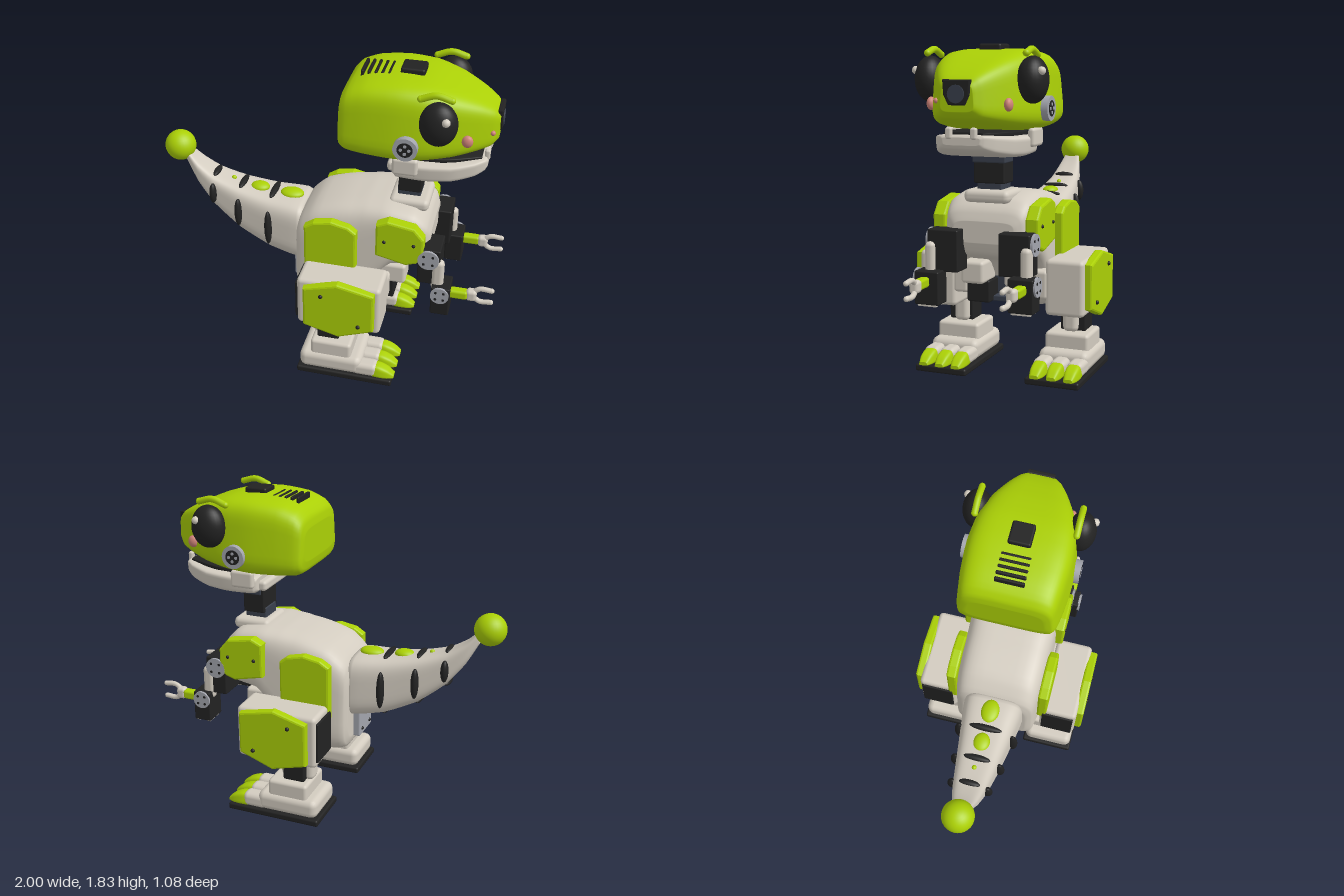
import * as THREE from 'three';
import { RoundedBoxGeometry } from 'three/addons/geometries/RoundedBoxGeometry.js';

const mat = (name, color) => {
  const m = new THREE.MeshStandardMaterial({ color });
  m.name = name;
  return m;
};

export function createModel() {
  const green = mat('lime green', 0xabd006), cream = mat('warm white', 0xd3ccc0), dark = mat('black', 0x222222);
  const gray = mat('light gray', 0xa3a5ad), slate = mat('slate', 0x3a404c), pink = mat('pink', 0xd0857a);
  const root = new THREE.Group();

  const add = (name, geo, m, x = 0, y = 0, z = 0) => {
    const mesh = new THREE.Mesh(geo, m);
    mesh.name = name;
    mesh.position.set(x, y, z);
    root.add(mesh);
    return mesh;
  };
  // Rounded box given by its limits on each axis
  const box = (name, m, x0, x1, y0, y1, z0, z1, r = 0.02) => {
    const d = [x1 - x0, y1 - y0, Math.abs(z1 - z0)];
    return add(name, new RoundedBoxGeometry(...d, 2, Math.min(r, Math.min(...d) * 0.45)), m,
      (x0 + x1) / 2, (y0 + y1) / 2, (z0 + z1) / 2);
  };
  const ball = (name, m, x, y, z, rx, ry = rx, rz = rx) => {
    const b = add(name, new THREE.SphereGeometry(1, 28, 18), m, x, y, z);
    b.scale.set(rx, ry, rz);
    return b;
  };
  // Disc whose axis runs along z
  const disc = (name, m, x, y, z, r, h, sides = 24) =>
    add(name, new THREE.CylinderGeometry(r, r, h, sides).rotateX(Math.PI / 2), m, x, y, z);
  // Bevelled plate from an outline in x and y, centred on z
  const plate = (name, m, pts, z, depth, bevel = 0.012) => {
    const shape = new THREE.Shape(pts.map(([x, y]) => new THREE.Vector2(x, y)));
    const g = new THREE.ExtrudeGeometry(shape, { depth: depth - 2 * bevel, bevelThickness: bevel,
      bevelSize: bevel, bevelOffset: -bevel, bevelSegments: 2 });
    return add(name, g.translate(0, 0, -depth / 2 + bevel), m, 0, 0, z);
  };
  // Loft along x through rounded cross-sections [x, bottom, top, half width]
  const loft = (name, m, secs, power, taper = 0) => {
    const N = 48, pos = [], idx = [];
    const curve = new THREE.CatmullRomCurve3(secs.map(s => new THREE.Vector3(s[1], s[2], s[3])));
    const xs = new THREE.CatmullRomCurve3(secs.map(s => new THREE.Vector3(s[0], 0, 0)));
    const rings = [], steps = (secs.length - 1) * 3;
    for (let i = 0; i <= steps; i++) {
      const p = curve.getPoint(i / steps);
      rings.push([xs.getPoint(i / steps).x, p.x, p.y, p.z]);
    }
    const cap = ([x, b, t, w], k) => [x, (b + t) / 2 - (t - b) / 2 * k, (b + t) / 2 + (t - b) / 2 * k, w * k];
    const first = rings[0], last = rings[steps];
    const all = [cap(first, 0), cap(first, 0.95), ...rings, cap(last, 0.95), cap(last, 0)];
    for (const [x, b, t, w] of all) for (let j = 0; j < N; j++) {
      const a = (j + 0.5) / N * Math.PI * 2, c = Math.cos(a), s = Math.sin(a);
      const u = Math.sign(c) * Math.abs(c) ** (2 / power), v = Math.sign(s) * Math.abs(s) ** (2 / power);
      pos.push(x, (b + t) / 2 + v * (t - b) / 2, u * w * (1 - taper * (v + 1) / 2));
    }
    for (let i = 0; i < all.length - 1; i++) for (let j = 0; j < N; j++) {
      const a = i * N + j, b = i * N + (j + 1) % N;
      idx.push(a, a + N, b + N, a, b + N, b);
    }
    const g = new THREE.BufferGeometry();
    g.setAttribute('position', new THREE.Float32BufferAttribute(pos, 3));
    g.setIndex(idx);
    g.computeVertexNormals();
    return add(name, g, m);
  };

  // Body
  loft('body', cream, [[-0.16, 0.42, 0.84, 0.2], [-0.14, 0.37, 0.9, 0.235], [-0.05, 0.35, 0.98, 0.255],
    [0.08, 0.35, 1.02, 0.262], [0.2, 0.39, 1.04, 0.262], [0.3, 0.55, 1.05, 0.262], [0.4, 0.67, 1.05, 0.26],
    [0.52, 0.69, 1.03, 0.25], [0.59, 0.73, 0.97, 0.225], [0.615, 0.79, 0.91, 0.18]], 5, 0.03);
  box('backPanel', gray, -0.2, -0.15, 0.42, 0.58, -0.1, 0.1, 0.01);
  for (const z of [-0.06, 0.06]) ball('backScrew', dark, -0.2, 0.46, z, 0.01);

  // Tail with dark bands and green spots
  loft('tail', cream, [[-0.14, 0.57, 0.91, 0.17], [-0.17, 0.565, 0.925, 0.18], [-0.34, 0.6, 0.935, 0.158],
    [-0.53, 0.69, 0.965, 0.128], [-0.69, 0.82, 1.015, 0.1], [-0.79, 0.95, 1.08, 0.075],
    [-0.86, 1.08, 1.15, 0.045]].reverse(), 4, 0.05);
  ball('tailBall', green, -0.91, 1.16, 0, 0.09);
  for (const [x, lo, hi, w] of [[-0.34, 0.6, 0.937, 0.158], [-0.53, 0.69, 0.965, 0.128], [-0.69, 0.82, 1.015, 0.1]]) {
    const mid = (lo + hi) / 2, h = (hi - lo) * 0.33;
    for (const s of [1, -1]) {
      ball('tailSideBand', dark, x, mid, s * w, 0.022, h, 0.03);
      ball('tailRidgeBand', dark, x, s > 0 ? hi : lo, 0, 0.02, 0.016, w * 0.6);
    }
  }
  for (const [x, y, rx, rz] of [[-0.235, 0.93, 0.07, 0.052], [-0.43, 0.945, 0.057, 0.047], [-0.59, 0.98, 0.015, 0.014]])
    ball('tailSpot', green, x, y, 0, rx, Math.min(rx, 0.028), rz);

  // Neck
  box('neckCollar', cream, 0.36, 0.585, 1.0, 1.07, -0.13, 0.13, 0.03);
  box('neckBase', slate, 0.4, 0.53, 1.06, 1.13, -0.07, 0.07, 0.008);
  box('neckMotor', dark, 0.405, 0.535, 1.1, 1.25, -0.088, 0.088, 0.008);
  box('neckBracket', slate, 0.42, 0.54, 1.21, 1.29, -0.095, 0.095, 0.008);

  // Jaw and teeth
  loft('jaw', cream, [[0.39, 1.27, 1.35, 0.2], [0.41, 1.255, 1.36, 0.22], [0.55, 1.25, 1.365, 0.225],
    [0.7, 1.26, 1.37, 0.21], [0.82, 1.285, 1.38, 0.16], [0.87, 1.31, 1.382, 0.12], [0.882, 1.33, 1.37, 0.1]], 6, -0.06);
  loft('mouth', dark, [[0.43, 1.35, 1.385, 0.18], [0.65, 1.36, 1.39, 0.18], [0.85, 1.37, 1.393, 0.11]], 6);
  box('jawHinge', cream, 0.35, 0.46, 1.265, 1.325, -0.17, 0.17);
  for (const s of [1, -1]) {
    box('jawArm', cream, 0.39, 0.53, 1.3, 1.4, s * 0.215, s * 0.255);
    box('tooth', cream, 0.86, 0.89, 1.36, 1.42, s * 0.05, s * 0.085, 0.012);
  }

  // Head
  loft('head', green, [[0.09, 1.47, 1.66, 0.23], [0.1, 1.42, 1.71, 0.268], [0.14, 1.395, 1.755, 0.287],
    [0.24, 1.385, 1.793, 0.303], [0.4, 1.38, 1.807, 0.313], [0.55, 1.388, 1.798, 0.3], [0.7, 1.41, 1.758, 0.252],
    [0.82, 1.437, 1.708, 0.185], [0.89, 1.46, 1.668, 0.135], [0.925, 1.495, 1.635, 0.095]], 5, 0.12);
  for (let i = 0; i < 5; i++) box('headVent', dark, 0.178 + i * 0.036, 0.194 + i * 0.036, 1.74, 1.805, -0.08, 0.08, 0.006);
  box('headHatch', dark, 0.385, 0.515, 1.79, 1.832, -0.062, 0.062, 0.012);
  plate('nose', dark, [[-0.075, 1.655], [0.075, 1.655], [0.07, 1.58], [0.045, 1.53], [-0.045, 1.53], [-0.07, 1.58]], 0, 0.03, 0.008)
    .rotation.y = Math.PI / 2;
  root.children.at(-1).position.x = 0.92;
  disc('noseButton', slate, 0.934, 1.585, 0, 0.045, 0.012).rotation.y = Math.PI / 2;
  ball('snoutDot', pink, 0.895, 1.55, 0.125, 0.014);
  for (const s of [1, -1]) {
    ball('eye', dark, 0.63, 1.65, s * 0.285, 0.1, 0.12, 0.08);
    ball('eyeHighlight', cream, 0.675, 1.695, s * 0.347, 0.022);
    const brow = new THREE.CatmullRomCurve3([[0.53, 1.775], [0.61, 1.802], [0.69, 1.783]]
      .map(([x, y]) => new THREE.Vector3(x, y, s * 0.272)));
    add('eyebrow', new THREE.TubeGeometry(brow, 16, 0.018, 10), green);
    for (const x of [0.53, 0.69]) ball('eyebrowEnd', green, x, x < 0.6 ? 1.775 : 1.783, s * 0.272, 0.018);
    ball('cheekMark', pink, 0.775, 1.53, s * 0.212, 0.03, 0.034, 0.022);
    disc('ear', gray, 0.47, 1.5, s * 0.305, 0.065, 0.045, 32);
    disc('earCentre', dark, 0.47, 1.5, s * 0.326, 0.042, 0.006);
    for (let i = 0; i < 4; i++) {
      const a = i * Math.PI / 2;
      disc('earSpoke', gray, 0.47 + Math.cos(a) * 0.022, 1.5 + Math.sin(a) * 0.022, s * 0.328, 0.009, 0.008, 12);
    }
  }

  for (const s of [1, -1]) {
    // Body side panels
    plate('flankPanel', green, [[-0.085, 0.6], [0.215, 0.6], [0.215, 0.91], [0.17, 0.945], [0.07, 0.968], [-0.03, 0.95], [-0.085, 0.915]],
      s * 0.275, 0.06);
    plate('shoulderPanel', green, [[0.325, 0.79], [0.5, 0.75], [0.56, 0.77], [0.595, 0.81], [0.595, 0.93], [0.54, 0.995], [0.39, 1.02], [0.325, 0.99]],
      s * 0.265, 0.075);
    for (const x of [0.375, 0.54]) ball('panelScrew', dark, x, 0.89, s * 0.303, 0.01);

    // Hip and thigh
    box('thigh', cream, -0.08, 0.4, 0.375, 0.685, s * 0.265, s * 0.485, 0.025);
    box('thighBackPlate', dark, -0.092, -0.075, 0.41, 0.65, s * 0.28, s * 0.47, 0.006);
    plate('thighPanel', green, [[-0.035, 0.4], [0.17, 0.345], [0.37, 0.42], [0.37, 0.665], [0.16, 0.71], [-0.035, 0.655]],
      s * 0.497, 0.055);
    for (const [x, y] of [[0.07, 0.62], [0.285, 0.445]]) ball('thighScrew', dark, x, y, s * 0.526, 0.012);
    box('hipMotor', dark, 0.2, 0.42, 0.42, 0.545, s * 0.05, s * 0.185, 0.01);
    box('hipCap', cream, 0.3, 0.485, 0.535, 0.66, s * 0.06, s * 0.195);
    box('hipLink', cream, 0.15, 0.4, 0.46, 0.62, s * 0.19, s * 0.28);

    // Lower leg and foot
    box('shin', cream, -0.02, 0.185, 0.23, 0.42, s * 0.29, s * 0.38, 0.03);
    box('shinMotor', dark, 0.02, 0.15, 0.235, 0.4, s * 0.27, s * 0.42, 0.01);
    box('ankle', cream, -0.01, 0.23, 0.12, 0.235, s * 0.205, s * 0.46);
    box('foot', cream, -0.075, 0.295, 0.035, 0.15, s * 0.185, s * 0.48, 0.04);
    box('sole', dark, -0.088, 0.478, 0, 0.04, s * 0.175, s * 0.487, 0.012);
    for (const z of [0.235, 0.333, 0.431]) {
      box('toe', cream, 0.24, 0.39, 0.035, 0.12, s * (z - 0.046), s * (z + 0.046), 0.03);
      loft('toeClaw', green, [[0.365, 0.035, 0.113, 0.045], [0.4, 0.035, 0.11, 0.048], [0.45, 0.035, 0.09, 0.042],
        [0.487, 0.04, 0.06, 0.028]], 4, 0.25).position.z = s * z;
    }

    // Arm
    box('shoulderMotor', dark, 0.565, 0.69, 0.64, 0.865, s * 0.115, s * 0.29, 0.008);
    box('upperArm', cream, 0.645, 0.715, 0.6, 0.8, s * 0.243, s * 0.3, 0.027);
    box('elbowMotor', dark, 0.655, 0.76, 0.47, 0.65, s * 0.195, s * 0.335, 0.008);
    for (const [x, y, z, r] of [[0.625, 0.805, 0.296, 0.06], [0.705, 0.605, 0.338, 0.052]]) {
      disc('jointDisc', gray, x, y, s * z, r, 0.014);
      for (let i = 0; i < 4; i++) {
        const a = (i + 0.5) * Math.PI / 2;
        disc('jointScrew', dark, x + Math.cos(a) * r * 0.6, y + Math.sin(a) * r * 0.6, s * (z + 0.006), 0.008, 0.006, 10);
      }
    }
    for (const x of [0.665, 0.73]) box('elbowFoot', cream, x, x + 0.025, 0.46, 0.475, s * 0.21, s * 0.32, 0.004);
    box('forearm', green, 0.75, 0.855, 0.568, 0.622, s * 0.245, s * 0.3, 0.015);
    box('hand', cream, 0.845, 0.905, 0.56, 0.63, s * 0.24, s * 0.295);
    for (const d of [1, -1]) {
      const path = new THREE.CatmullRomCurve3([[0.88, 0.012], [0.92, 0.042], [0.985, 0.04]]
        .map(([x, y]) => new THREE.Vector3(x, 0.595 + d * y, s * 0.262)));
      add('finger', new THREE.TubeGeometry(path, 10, 0.015, 10), cream);
      ball('fingerTip', cream, 0.985, 0.595 + d * 0.04, s * 0.262, 0.015);
    }
  }
  box('pelvisBar', slate, 0.15, 0.36, 0.42, 0.45, -0.06, 0.06, 0.006);
  box('pelvisCore', slate, 0.1, 0.3, 0.45, 0.66, -0.2, 0.2, 0.01);
  return root;
}
